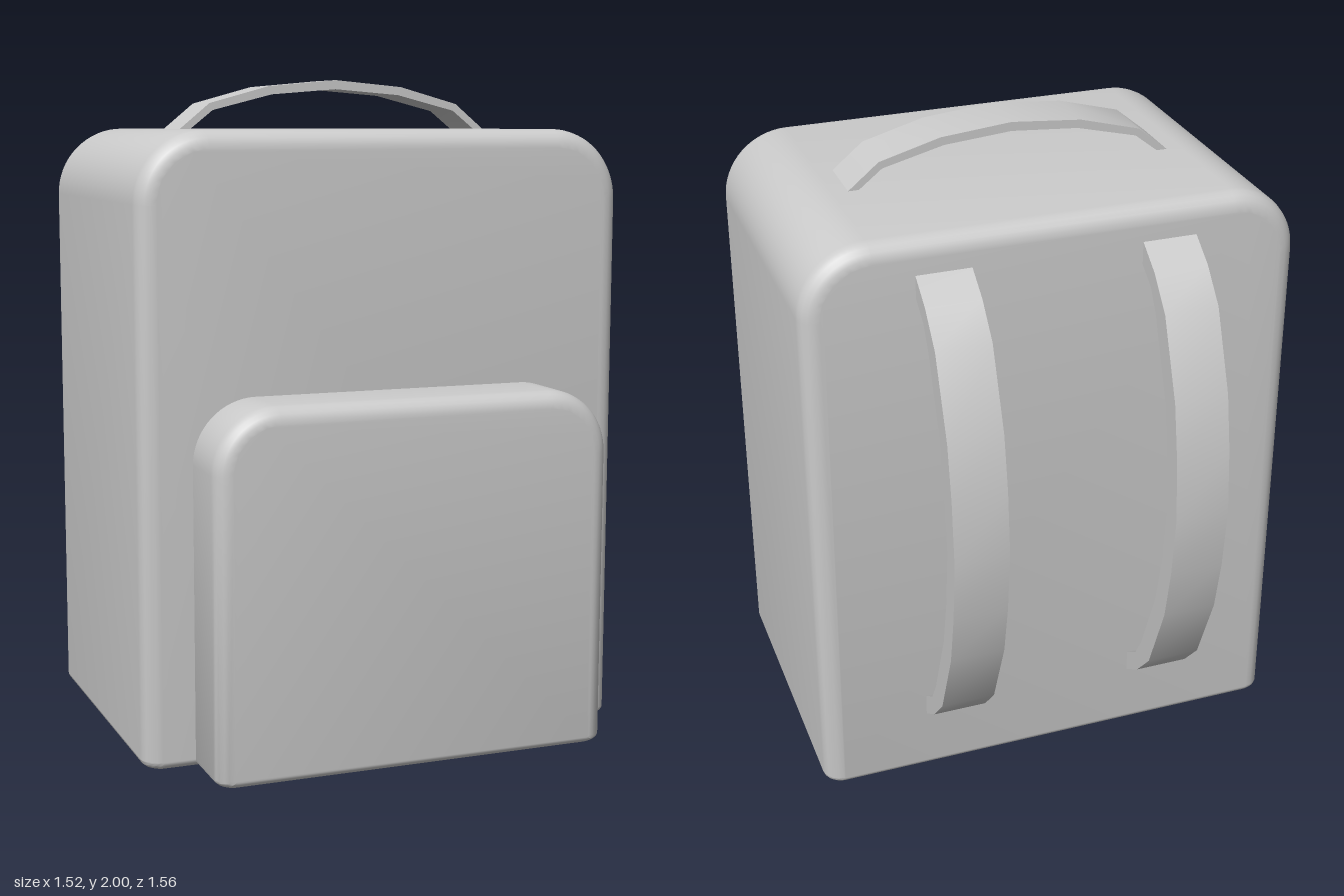
import * as THREE from 'three';
import { toCreasedNormals } from 'three/addons/utils/BufferGeometryUtils.js';

const material = new THREE.MeshStandardMaterial({ color: 0xcccccc });

function addMesh(parent, name, geometry, crease) {
  const mesh = new THREE.Mesh(toCreasedNormals(geometry, crease), material);
  mesh.name = name;
  parent.add(mesh);
  return mesh;
}

// Padded block standing on y = 0: wide round top corners, tight bottom edge, soft front and back edges
function paddedBlock(halfWidth, height, back, front, topRadius, bevel) {
  const w = halfWidth - bevel, y0 = bevel, y1 = height - bevel;
  const r = topRadius - bevel, b = 0.01;
  const shape = new THREE.Shape();
  shape.moveTo(-w + b, y0);
  shape.lineTo(w - b, y0);
  shape.absarc(w - b, y0 + b, b, -Math.PI / 2, 0);
  shape.lineTo(w, y1 - r);
  shape.absarc(w - r, y1 - r, r, 0, Math.PI / 2);
  shape.lineTo(-w + r, y1);
  shape.absarc(-w + r, y1 - r, r, Math.PI / 2, Math.PI);
  shape.lineTo(-w, y0 + b);
  shape.absarc(-w + b, y0 + b, b, Math.PI, Math.PI * 1.5);
  const geometry = new THREE.ExtrudeGeometry(shape, {
    depth: front - back - 2 * bevel, curveSegments: 8,
    bevelSize: bevel, bevelThickness: bevel, bevelSegments: 5,
  });
  geometry.translate(0, 0, back + bevel);
  // Flatten the bottom rounding to half its height
  const p = geometry.attributes.position, limit = bevel + b;
  for (let i = 0; i < p.count; i++) {
    if (p.getY(i) < limit) p.setY(i, p.getY(i) * 0.5);
  }
  return geometry;
}

// Arched band: half outlines [along, out] from end to crown, mirrored and extruded to its width
function archedBand(outer, inner, width) {
  const full = (half) => [
    ...half.map(([a, o]) => new THREE.Vector2(a, o)),
    ...half.slice().reverse().filter(([a]) => a > 0).map(([a, o]) => new THREE.Vector2(-a, o)),
  ];
  const shape = new THREE.Shape([...full(outer), ...full(inner).reverse()]);
  const geometry = new THREE.ExtrudeGeometry(shape, { depth: width, bevelEnabled: false });
  return geometry.translate(0, 0, -width / 2);
}

export function createModel() {
  const bag = new THREE.Group();
  bag.name = 'backpack';

  // Main compartment and front pocket
  addMesh(bag, 'body', paddedBlock(0.76, 1.85, -0.46, 0.56, 0.21, 0.055), 0.6);
  const pocket = addMesh(bag, 'frontPocket', paddedBlock(0.613, 1.09, 0.48, 0.78, 0.19, 0.05), 0.6);
  pocket.position.x = 0.006;

  // Carry handle on top
  const handle = addMesh(bag, 'carryHandle', archedBand(
    [[0.53, 1.83], [0.505, 1.85], [0.41, 1.928], [0.22, 1.98], [0, 2]],
    [[0.45, 1.83], [0.472, 1.85], [0.4, 1.907], [0.21, 1.955], [0, 1.972]], 0.175), 0.6);
  handle.position.z = 0.03;

  // Pair of shoulder straps bowing out from the back
  const strap = archedBand(
    [[0.785, 0.42], [0.765, 0.46], [0.705, 0.545], [0.61, 0.63], [0.37, 0.726], [0.2, 0.758], [0, 0.776]],
    [[0.73, 0.42], [0.695, 0.46], [0.65, 0.525], [0.58, 0.567], [0.35, 0.657], [0.19, 0.69], [0, 0.71]], 0.167);
  // Turn the arch so it stands upright and bows towards -z
  strap.applyMatrix4(new THREE.Matrix4().makeBasis(
    new THREE.Vector3(0, 1, 0), new THREE.Vector3(0, 0, -1), new THREE.Vector3(-1, 0, 0)));
  for (const [side, name] of [[1, 'leftShoulderStrap'], [-1, 'rightShoulderStrap']]) {
    addMesh(bag, name, strap, 0.6).position.set(side * 0.343, 0.98, 0);
  }
  return bag;
}
